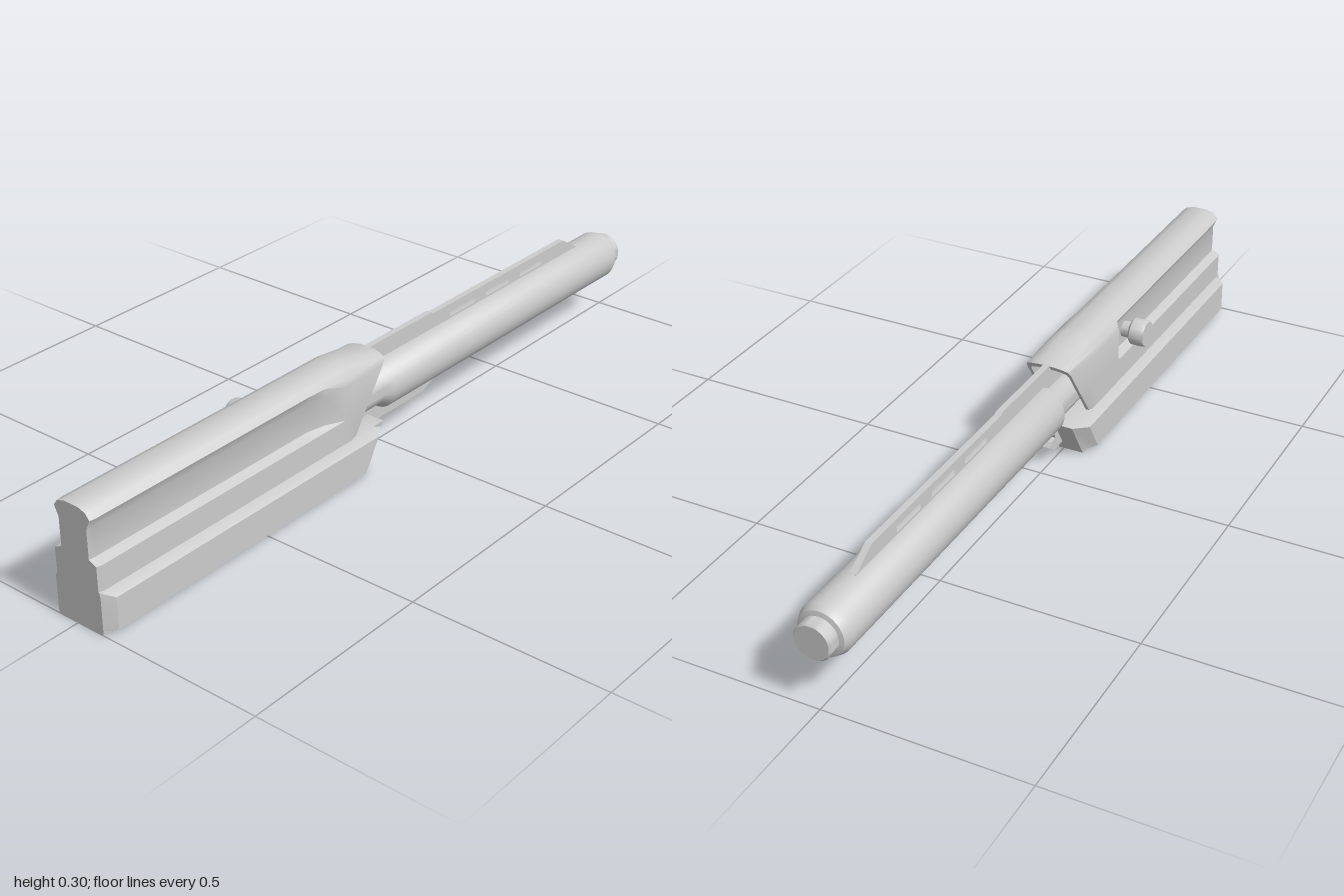
import * as THREE from 'three';
import { toCreasedNormals } from 'three/addons/utils/BufferGeometryUtils.js';

const material = new THREE.MeshStandardMaterial({ color: 0xcccccc });

// Skin closed loops of [x, y, z] points running front to back, with both ends capped.
function loft(loops, centreY) {
  const n = loops[0].length, pos = [];
  const tri = (...p) => p.forEach((v) => pos.push(...v));
  for (let s = 0; s < loops.length - 1; s++) {
    for (let i = 0; i < n; i++) {
      const j = (i + 1) % n;
      const [a, b, c, d] = [loops[s][i], loops[s][j], loops[s + 1][j], loops[s + 1][i]];
      tri(a, b, c);
      tri(a, c, d);
    }
  }
  const cap = (loop, front) => {
    const centre = [0, centreY, loop.reduce((t, p) => t + p[2], 0) / n];
    for (let i = 0; i < n; i++) {
      const p = loop[i], q = loop[(i + 1) % n];
      front ? tri(centre, q, p) : tri(centre, p, q);
    }
  };
  cap(loops[0], true);
  cap(loops[loops.length - 1], false);
  const g = new THREE.BufferGeometry();
  g.setAttribute('position', new THREE.Float32BufferAttribute(pos, 3));
  return toCreasedNormals(g, 0.6);
}

// Turn half outlines (top to bottom) into a full loop; the two sides may differ.
function section(right, left, z) {
  const at = (y) => (typeof z === 'function' ? z(y) : z);
  return [
    ...right.map(([x, y]) => [x, y, at(y)]),
    ...[...left].reverse().map(([x, y]) => [-x, y, at(y)]),
  ];
}
const both = (half, z) => section(half, half, z);

// Flat plate drawn in (z, y) and given a thickness along x.
function plate(outline, thickness, holes = []) {
  const toPoints = (list) => list.map(([z, y]) => new THREE.Vector2(-z, y));
  const shape = new THREE.Shape(toPoints(outline));
  holes.forEach((h) => shape.holes.push(new THREE.Path(toPoints(h))));
  const g = new THREE.ExtrudeGeometry(shape, { depth: thickness, bevelEnabled: false });
  g.translate(0, 0, -thickness / 2);
  g.rotateY(Math.PI / 2);
  return g;
}

// Turned part from [radius, distance] points.
function turned(points, segments) {
  const g = new THREE.LatheGeometry(points.map(([r, d]) => new THREE.Vector2(r, d)), segments);
  return toCreasedNormals(g, 0.6);
}

export function createModel() {
  const model = new THREE.Group();
  model.name = 'model';
  const body = new THREE.Group();
  body.name = 'assembly';
  body.position.x = 0.009;
  model.add(body);
  const add = (name, geometry) => {
    const mesh = new THREE.Mesh(geometry, material);
    mesh.name = name;
    body.add(mesh);
    return mesh;
  };

  // Upper housing: side grooves run from the front and end before the rear swell
  const grooved = [[0.022, 0.3], [0.044, 0.289], [0.055, 0.275], [0.043, 0.25], [0.043, 0.178], [0.065, 0.168], [0.065, 0.09]];
  const full = [[0.022, 0.3], [0.044, 0.289], [0.061, 0.27], [0.065, 0.255], [0.065, 0.178], [0.065, 0.168], [0.065, 0.09]];
  const half = grooved.map(([x, y], i) => [(x + full[i][0]) / 2, y]);
  const rear = full.map(([x, y]) => [x * 0.92, Math.min(y, 0.278 - (0.3 - y) * 0.3)]);
  const slant = (y) => 0.17 - (y - 0.1) * 0.68;
  const rim = rear.map(([x, y]) => [x * 0.86, 0.18 + (y - 0.18) * 0.86]);
  const ends = grooved.map(([x, y]) => [x * 0.95, Math.min(y, 0.296)]);
  add('upperHousing', loft([
    both(ends, 1),
    both(grooved, 0.985),
    section(grooved, grooved, 0.335),
    section(grooved, full, 0.325),
    section(half, full, 0.27),
    both(full, 0.21),
    both(full, (y) => Math.max(0.18, slant(y) + 0.01)),
    both(rear, slant),
    both(rim, slant),
    both(rim, (y) => slant(y) + 0.07),
  ], 0.19));

  // Lower housing: wide base with chamfered edges and a raked rear end
  const base = [[0.064, 0.106], [0.088, 0.092], [0.088, 0.012], [0.066, 0]];
  const narrow = (k) => base.map(([x, y]) => [Math.min(x, k), y]);
  const rake = (y) => 0.13 - y * 0.6;
  add('lowerHousing', loft([
    both(narrow(0.067), 1),
    both(base, 0.975),
    both(base, (y) => rake(y) + 0.04),
    both(narrow(0.062), rake),
  ], 0.05));

  // Barrel with a slimmer root and a stepped tip
  const barrel = add('barrel', turned([
    [0, -0.25], [0.05, -0.25], [0.05, -0.045], [0.065, -0.02],
    [0.065, 0.945], [0.057, 0.965], [0.046, 0.968], [0.046, 0.995], [0.042, 1], [0, 1],
  ], 32));
  barrel.rotation.x = -Math.PI / 2;
  barrel.position.y = 0.17;

  // Top rib with three long slots
  const slots = [-0.27, -0.42, -0.57].map((z) => [[z, 0.24], [z, 0.255], [z - 0.1, 0.255], [z - 0.1, 0.24]]);
  add('topRib', plate([
    [0.12, 0.2], [0.12, 0.279], [-0.19, 0.279], [-0.2, 0.274], [-0.77, 0.274], [-0.835, 0.235], [-0.835, 0.2],
  ], 0.016, slots));

  // Underside lug and the small hook ahead of it
  add('undersideLug', plate([
    [0.16, 0.12], [0.16, 0.078], [-0.15, 0.078], [-0.2, 0.1], [-0.2, 0.12],
  ], 0.03));
  add('hook', plate([
    [0.16, 0.09], [0.16, 0.032], [0.065, 0.032], [0.04, 0.05], [0.05, 0.062], [0.07, 0.065], [0.06, 0.09],
  ], 0.03));

  // Side knob on a short stem
  const knob = add('sideKnob', turned([
    [0, 0], [0.021, 0], [0.021, 0.036], [0.029, 0.036], [0.035, 0.042], [0.035, 0.073], [0.032, 0.079], [0, 0.079],
  ], 20));
  knob.rotation.z = Math.PI / 2;
  knob.position.set(-0.03, 0.217, 0.405);

  return model;
}
